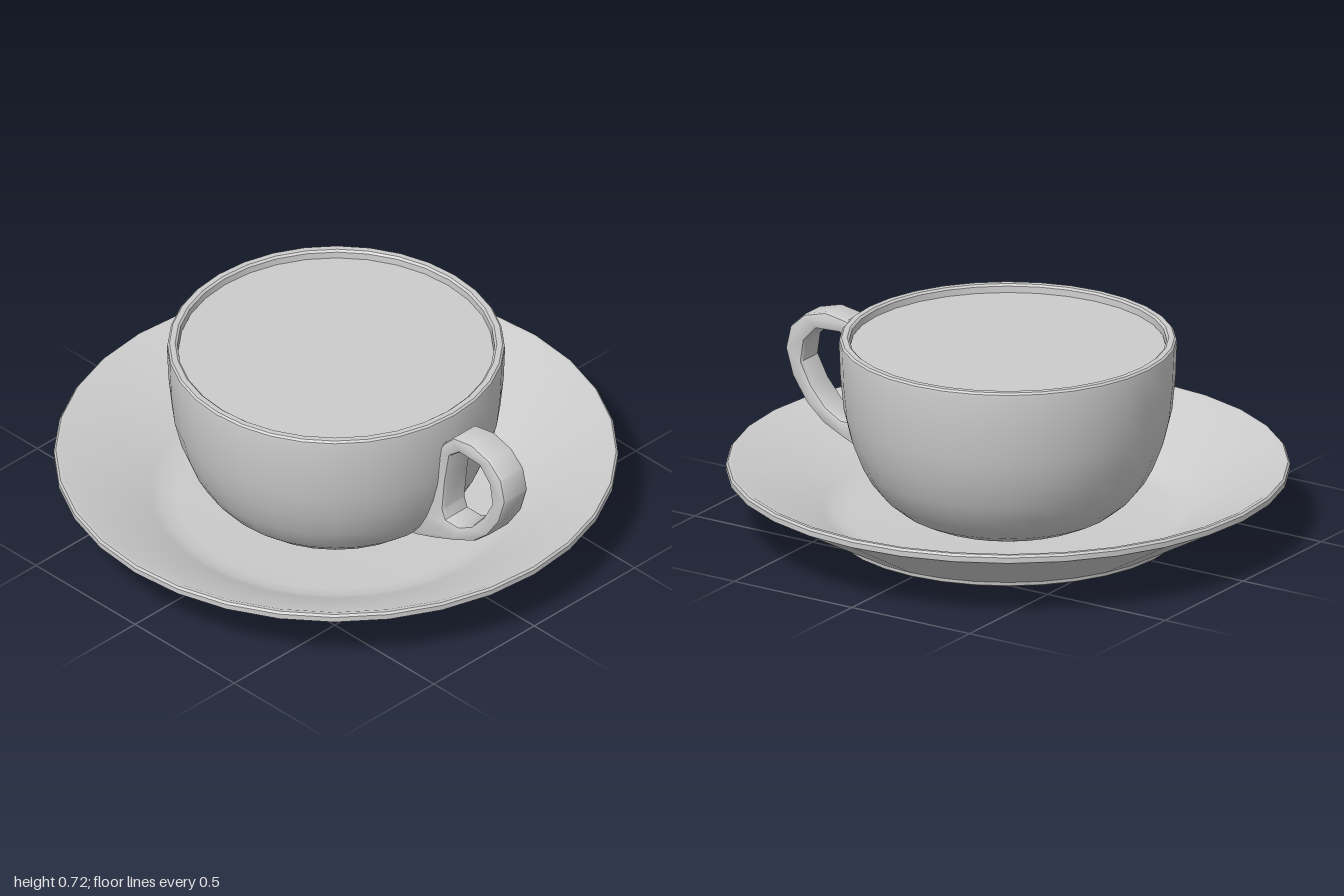
import * as THREE from 'three';
import { toCreasedNormals } from 'three/addons/utils/BufferGeometryUtils.js';

const SIDES = 32;
const points = (list) => list.map(([x, y]) => new THREE.Vector2(x, y));

export function createModel() {
  const group = new THREE.Group();
  const porcelain = new THREE.MeshStandardMaterial({ color: 0xcccccc });
  porcelain.name = 'porcelain grey';

  function add(name, geometry) {
    const mesh = new THREE.Mesh(toCreasedNormals(geometry, 0.6), porcelain);
    mesh.name = name;
    group.add(mesh);
    return mesh;
  }
  const turned = (name, profile) => add(name, new THREE.LatheGeometry(points(profile), SIDES));

  // Saucer: recessed underside with foot ring, flared wall, thin rim, flat well
  turned('saucer', [
    [0, 0.016], [0.238, 0.016], [0.245, 0.01], [0.275, 0.01], [0.282, 0.014],
    [0.57, 0.014], [0.58, 0], [0.61, 0], [0.62, 0.006], [0.622, 0.019],
    [0.985, 0.217], [1, 0.225], [1, 0.245], [0.993, 0.253], [0.98, 0.253],
    [0.66, 0.083], [0.62, 0.066], [0.57, 0.06], [0, 0.06],
  ]);

  // Cup: rounded bowl with an open interior
  turned('cup', [
    [0, 0.062], [0.31, 0.062], [0.33, 0.07], [0.39, 0.1], [0.45, 0.15],
    [0.49, 0.2], [0.523, 0.26], [0.558, 0.35], [0.582, 0.45], [0.594, 0.57],
    [0.599, 0.7], [0.597, 0.713], [0.59, 0.72], [0.57, 0.72], [0.562, 0.713],
    [0.555, 0.57], [0.53, 0.4], [0.46, 0.23], [0.33, 0.11], [0, 0.1],
  ]);

  // Drink surface just below the rim
  const drink = add('drink', new THREE.CircleGeometry(0.559, SIDES));
  drink.rotation.x = -Math.PI / 2;
  drink.position.y = 0.69;

  // Handle: bevelled loop whose inner side is sunk into the cup wall
  const loop = new THREE.Shape(points([
    [0.43, 0.15], [0.46, 0.148], [0.55, 0.18], [0.66, 0.225], [0.75, 0.268],
    [0.82, 0.33], [0.88, 0.42], [0.91, 0.52], [0.89, 0.605], [0.83, 0.66],
    [0.74, 0.685], [0.65, 0.67], [0.595, 0.615], [0.57, 0.56], [0.56, 0.42], [0.5, 0.27],
  ]));
  loop.holes.push(new THREE.Path(points([
    [0.61, 0.293], [0.595, 0.33], [0.608, 0.46], [0.63, 0.58], [0.68, 0.62], [0.78, 0.615],
    [0.83, 0.56], [0.842, 0.48], [0.8, 0.4], [0.74, 0.33], [0.675, 0.293],
  ])));
  const bevel = 0.014;
  const handle = new THREE.ExtrudeGeometry(loop, {
    depth: 0.12 - 2 * bevel, bevelEnabled: true, bevelThickness: bevel,
    bevelSize: bevel, bevelOffset: -bevel, bevelSegments: 2,
  });
  handle.translate(0, 0, bevel - 0.06);
  add('handle', handle);

  return group;
}
